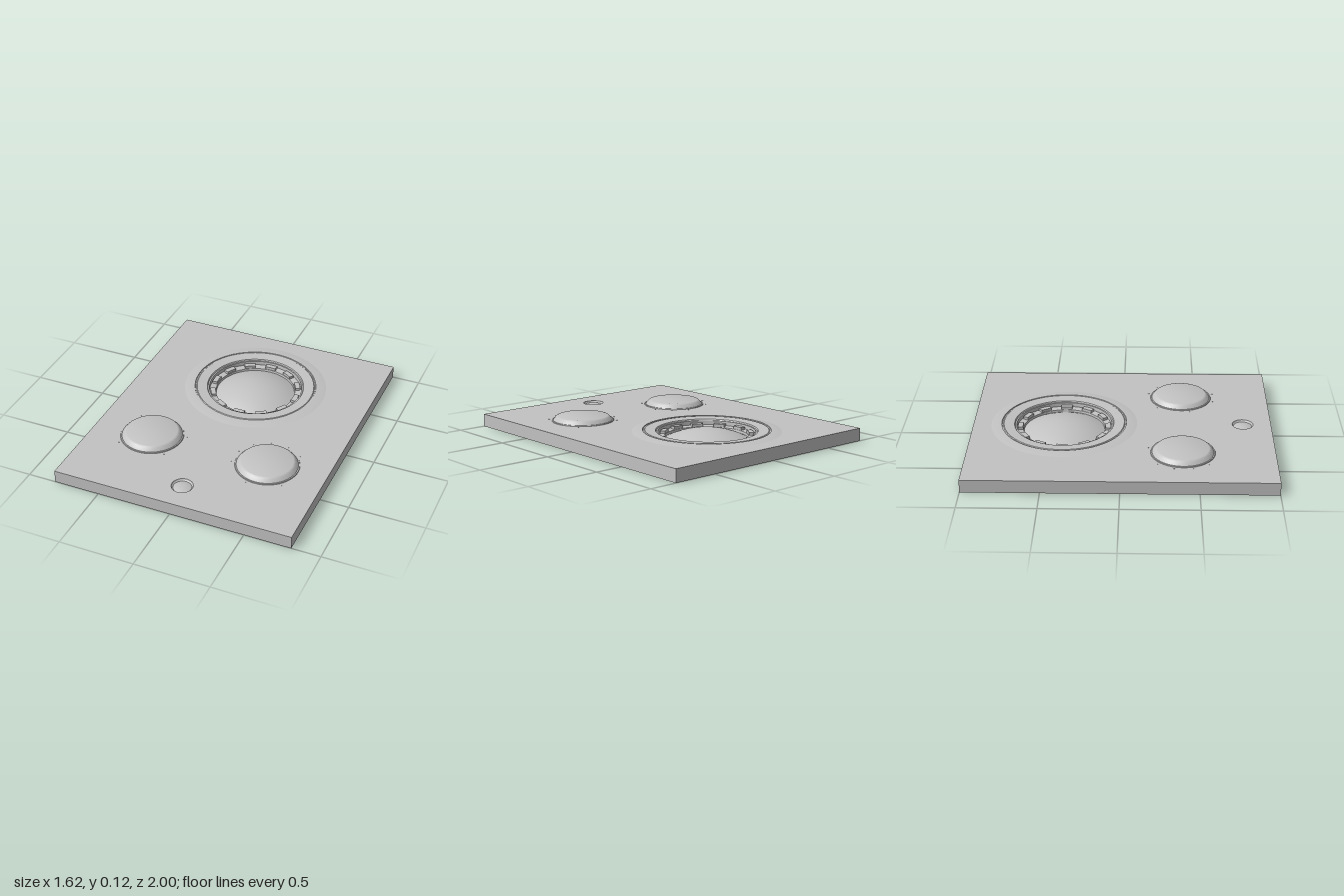
import * as THREE from 'three';
import { toCreasedNormals } from 'three/addons/utils/BufferGeometryUtils.js';

const W = 1.62, D = 2, T = 0.086;   // slab width, depth, thickness
const SPEAKER_Z = -0.39, LIGHT_Z = 0.81, HOLE_R = 0.45, LIGHT_R = 0.07;

export function createModel() {
  const grey = new THREE.MeshStandardMaterial({ color: 0xc2c2c2 });
  grey.name = 'light grey';
  const root = new THREE.Group();
  root.name = 'panel';

  const add = (name, geometry, x, y, z, parent = root) => {
    const mesh = new THREE.Mesh(geometry, grey);
    mesh.name = name;
    mesh.position.set(x, y, z);
    parent.add(mesh);
    return mesh;
  };
  const lathe = (points, segments = 64) => toCreasedNormals(
    new THREE.LatheGeometry(points.map(([r, y]) => new THREE.Vector2(r, y)), segments), 0.4);
  // points along a shallow cap, from the centre outwards
  const cap = (radius, top, edge, n = 10) => Array.from({ length: n + 1 }, (_, i) => {
    const t = i / n;
    return [radius * t, edge + (top - edge) * (1 - t * t)];
  });

  // slab with round openings for the speaker and the indicator
  const outline = new THREE.Shape();
  outline.moveTo(-W / 2, -D / 2);
  outline.lineTo(W / 2, -D / 2);
  outline.lineTo(W / 2, D / 2);
  outline.lineTo(-W / 2, D / 2);
  outline.closePath();
  for (const [z, r] of [[SPEAKER_Z, HOLE_R], [LIGHT_Z, LIGHT_R]]) {
    const hole = new THREE.Path();
    hole.absarc(0, -z, r, 0, Math.PI * 2, true);
    outline.holes.push(hole);
  }
  const slab = new THREE.ExtrudeGeometry(outline, { depth: T, bevelEnabled: false, curveSegments: 32 });
  slab.rotateX(-Math.PI / 2);
  add('slab', slab, 0, 0, 0);

  // speaker: hollow underside, raised rim, stepped recess and central dome
  const speaker = new THREE.Group();
  speaker.name = 'speaker';
  speaker.position.z = SPEAKER_Z;
  root.add(speaker);
  add('speakerBody', lathe([
    ...cap(0.25, 0.06, 0),
    [HOLE_R, 0], [HOLE_R, T], [0.49, T],
    [0.43, 0.096], [0.42, 0.096], [0.418, 0.091], [0.41, 0.091], [0.405, 0.095],
    [0.335, 0.09], [0.33, 0.082], [0.32, 0.082], [0.318, 0.055], [0.275, 0.05], [0.272, 0.035],
    ...cap(0.27, 0.1, 0.035).reverse(),
  ]), 0, 0, 0, speaker);

  // curved tabs around the recess
  const tab = new THREE.Shape();
  tab.absarc(0, 0, 0.312, -0.13, 0.13, false);
  tab.absarc(0, 0, 0.278, 0.13, -0.13, true);
  tab.closePath();
  const tabGeometry = new THREE.ExtrudeGeometry(tab, { depth: 0.02, bevelEnabled: false, curveSegments: 5 });
  tabGeometry.rotateX(-Math.PI / 2);
  for (let i = 0; i < 12; i++) {
    add('recessTab', tabGeometry, 0, 0.05, 0, speaker).rotation.y = i * Math.PI / 6;
  }

  // pair of knobs with small dial marks around them
  const knobGeometry = lathe([
    [0.212, T - 0.004], [0.208, 0.091], [0.2, 0.091], [0.196, 0.096],
    [0.182, 0.112], [0.176, 0.117], [0.168, 0.12], [0, 0.12],
  ]);
  const markGeometry = new THREE.CylinderGeometry(0.004, 0.004, 0.003, 6);
  for (const side of [-1, 1]) {
    const knob = new THREE.Group();
    knob.name = side > 0 ? 'leftKnob' : 'rightKnob';
    knob.position.set(side * 0.41, 0, 0.4);
    root.add(knob);
    add('knobCap', knobGeometry, 0, 0, 0, knob);
    for (let i = 0; i < 12; i++) {
      const a = (i + 0.5) * Math.PI / 6;
      add('dialMark', markGeometry, 0.23 * Math.cos(a), T, 0.23 * Math.sin(a), knob);
    }
  }

  // shallow indicator dimple
  add('indicator', lathe([
    [0, 0], [LIGHT_R, 0], [LIGHT_R, T], [0.066, 0.078], ...cap(0.06, 0.084, 0.074, 5).reverse(),
  ]), 0, 0, LIGHT_Z);

  return root;
}
